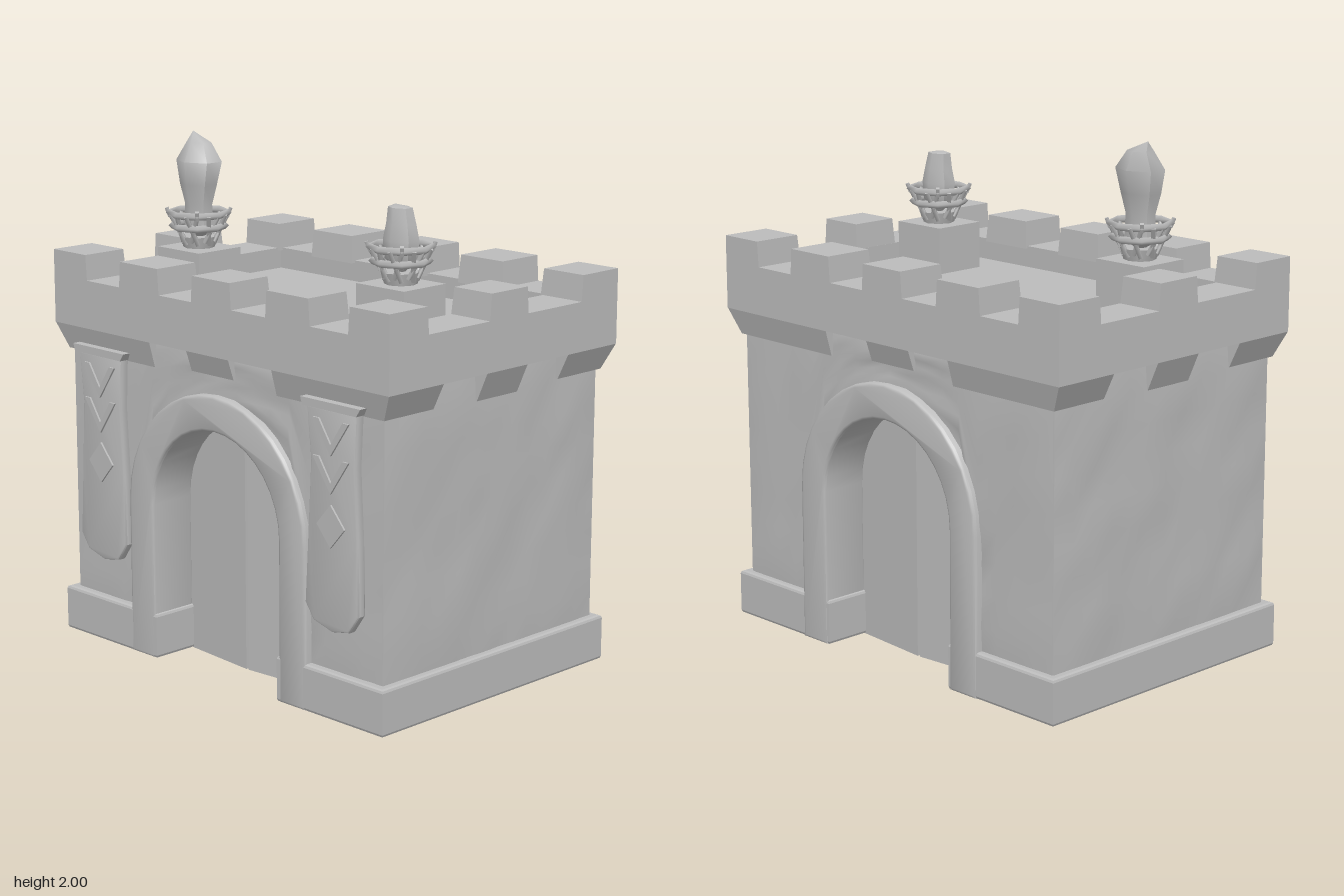
import * as THREE from 'three';
import { toCreasedNormals } from 'three/addons/utils/BufferGeometryUtils.js';

const stone = new THREE.MeshStandardMaterial({ color: 0xbcbcbc });
stone.name = 'stone grey';

// Footprint limits of the battlements, half width of the walls
const X = 0.91, ZF = 0.61, ZB = -0.63, WALL = 0.845;

let seed = 7;
const rand = () => (seed = (seed * 16807) % 2147483647) / 2147483647;

function add(parent, name, geometry, x = 0, y = 0, z = 0) {
  const mesh = new THREE.Mesh(geometry, stone);
  mesh.name = name;
  mesh.position.set(x, y, z);
  parent.add(mesh);
  return mesh;
}

// Move every vertex by a rule
function reshape(g, move) {
  const p = g.attributes.position, v = new THREE.Vector3();
  for (let i = 0; i < p.count; i++) {
    move(v.fromBufferAttribute(p, i));
    p.setXYZ(i, v.x, v.y, v.z);
  }
  g.computeVertexNormals();
  return g;
}

// Box given by its limits; move(v) may shift each corner
function block(parent, name, x0, x1, y0, y1, z0, z1, move = () => {}) {
  const g = new THREE.BoxGeometry(x1 - x0, y1 - y0, z1 - z0);
  g.translate((x0 + x1) / 2, (y0 + y1) / 2, (z0 + z1) / 2);
  return add(parent, name, reshape(g, move));
}

const polygon = pts => new THREE.Shape(pts.map(p => new THREE.Vector2(...p)));
const extrude = (shape, depth, bevel = 0) => new THREE.ExtrudeGeometry(shape, {
  depth, bevelEnabled: bevel > 0, bevelSize: bevel, bevelThickness: bevel, bevelSegments: 2,
});

// Points of a round-headed opening, from its right foot to its left foot
function archPoints(r, springY = 0.61, n = 18) {
  const pts = [[r, 0]];
  for (let i = 0; i <= n; i++) {
    const a = Math.PI * i / n;
    pts.push([r * Math.cos(a), springY + r * Math.sin(a)]);
  }
  pts.push([-r, 0]);
  return pts;
}

// Softly uneven masonry facing +z; bottomAt(x) gives its lower edge
function addMasonry(parent, half, z, bottomAt) {
  const top = 1.275, columns = Math.round(half * 2 / 0.095);
  const g = new THREE.PlaneGeometry(half * 2, 1, columns, 9);
  reshape(g, v => {
    const edge = Math.abs(v.x) > half - 0.001 || Math.abs(v.y) > 0.499;
    const y0 = bottomAt(v.x);
    v.y = y0 + (v.y + 0.5) * (top - y0);
    v.z = edge ? 0.003 : 0.003 + rand() * 0.012;
  });
  add(parent, 'masonryFace', g, 0, 0, z);
}

// Wall with gateway, stone surround and doors, facing +z
function makeFacade() {
  const f = new THREE.Group();
  const wall = polygon([[WALL, 0], [WALL, 1.3], [-WALL, 1.3], [-WALL, 0], ...archPoints(0.37).reverse()]);
  add(f, 'gateWall', extrude(wall, 0.187), 0, 0, 0.38);
  addMasonry(f, WALL, 0.566, x => Math.abs(x) < 0.455 ? 0.61 + Math.sqrt(0.455 ** 2 - x * x) : 0.15);

  const surround = polygon([...archPoints(0.475), ...archPoints(0.36).reverse()]);
  add(f, 'archSurround', toCreasedNormals(extrude(surround, 0.18, 0.012), 0.9), 0, 0.012, 0.415);

  // Two door leaves, bulging slightly at the meeting edge
  const leaf = polygon(archPoints(0.36).filter(p => p[0] > 0.001).concat([[0.006, 0.97], [0.006, 0]]));
  for (const s of [1, -1]) {
    const g = extrude(leaf, 0.025);
    if (s < 0) g.rotateY(Math.PI).translate(0, 0, 0.025);
    reshape(g, v => {
      if (v.z > 0.01) v.z += 0.03 * (1 - Math.abs(v.x) / 0.36);
    });
    add(f, 'doorLeaf', g, 0, 0, 0.385);
  }
  return f;
}

function makeBanner() {
  const b = new THREE.Group();
  const cloth = polygon([[-0.12, 0.82], [-0.1, 0.63], [-0.115, 0.35], [-0.13, 0.09], [-0.09, 0.035], [0, 0.01],
    [0.08, 0.025], [0.125, 0.09], [0.12, 0.36], [0.105, 0.63], [0.115, 0.82]]);
  add(b, 'bannerCloth', toCreasedNormals(extrude(cloth, 0.024, 0.008), 0.6), 0, 0, 0.583);
  const bar = polygon([[-0.15, 0.855], [-0.14, 0.825], [0.13, 0.825], [0.15, 0.855]]);
  add(b, 'bannerBar', extrude(bar, 0.06), 0, 0, 0.565);
  // Raised chevrons and a lozenge on the cloth
  for (const y of [0.72, 0.58]) {
    const v = polygon([[-0.09, 0.07], [0, -0.06], [0.09, 0.07], [0.06, 0.07], [0, -0.02], [-0.06, 0.07]]);
    add(b, 'bannerChevron', extrude(v, 0.009), 0, y, 0.614);
  }
  add(b, 'bannerLozenge', extrude(polygon([[-0.07, 0], [0, -0.08], [0.07, 0], [0, 0.08]]), 0.009), 0, 0.4, 0.614);
  return b;
}

function strut(parent, a, b, r) {
  const dir = b.clone().sub(a);
  const m = add(parent, 'basketStrut', new THREE.CylinderGeometry(r, r, dir.length(), 4));
  m.position.copy(a).add(b).multiplyScalar(0.5);
  m.quaternion.setFromUnitVectors(new THREE.Vector3(0, 1, 0), dir.normalize());
}

// Fire basket on a square pedestal; rows of the flame are [radius, y, xShift, zShift]
function makeTorch(flameRows) {
  const t = new THREE.Group();
  block(t, 'torchPedestal', -0.12, 0.12, 1.35, 1.55, -0.11, 0.11);
  add(t, 'basketFoot', new THREE.CylinderGeometry(0.075, 0.06, 0.05, 8), 0, 1.57, 0);
  for (const [r, y] of [[0.105, 1.635], [0.115, 1.685]]) {
    add(t, 'basketRing', new THREE.TorusGeometry(r, 0.014, 4, 8).rotateX(Math.PI / 2), 0, y, 0);
  }
  const at = (r, y, k) => new THREE.Vector3(r * Math.cos(k * Math.PI / 4), y, r * Math.sin(k * Math.PI / 4));
  for (let k = 0; k < 8; k++) {
    strut(t, at(0.06, 1.565, k), at(0.115, 1.685, k + 0.5), 0.011);
    strut(t, at(0.115, 1.685, k), at(0.065, 1.575, k + 0.5), 0.009);
    if (k % 2) strut(t, at(0.112, 1.67, k), at(0.126, 1.705, k), 0.01);
  }
  // Faceted flame: a lathe whose rows lean sideways, flatter from front to back
  const g = new THREE.LatheGeometry(flameRows.map(r => new THREE.Vector2(r[0], r[1])), 6);
  const p = g.attributes.position;
  for (let i = 0; i < p.count; i++) {
    const row = flameRows[i % flameRows.length];
    p.setX(i, p.getX(i) * 1.12 + row[2]);
    p.setZ(i, p.getZ(i) * 0.85 + row[3]);
  }
  add(t, 'flame', toCreasedNormals(g, 0.9));
  return t;
}

export function createModel() {
  const model = new THREE.Group();
  model.name = 'gatehouse';

  // Keep core, roof and notched plinth
  block(model, 'keepCore', -WALL, WALL, 0, 1.3, -0.41, 0.39);
  block(model, 'roof', -0.8, 0.8, 1.28, 1.365, -0.52, 0.5);
  const e = 0.35, d = 0.4, w = 0.87, h = 0.602;
  const plan = polygon([[w, -h], [w, h], [e, h], [e, d], [-e, d], [-e, h], [-w, h], [-w, -h], [-e, -h], [-e, -d], [e, -d], [e, -h]]);
  const plinth = extrude(plan, 0.156, 0.012).rotateX(-Math.PI / 2);
  add(model, 'plinth', plinth, 0, 0.012, -0.008);

  // Front and back gates
  const front = makeFacade();
  front.name = 'frontGate';
  const back = makeFacade();
  back.name = 'backGate';
  back.rotation.y = Math.PI;
  back.position.z = -0.02;
  model.add(front, back);

  // Masonry of the two sides
  for (const s of [1, -1]) {
    const side = new THREE.Group();
    side.name = s > 0 ? 'leftSide' : 'rightSide';
    addMasonry(side, 0.577, WALL, () => 0.15);
    side.rotation.y = s * Math.PI / 2;
    side.position.z = -0.01;
    model.add(side);
  }

  // Parapet ring
  const ring = polygon([[-X, -ZF], [X, -ZF], [X, -ZB], [-X, -ZB]]);
  ring.holes.push(new THREE.Path([[-0.72, -0.42], [-0.72, 0.44], [0.72, 0.44], [0.72, -0.42]].map(p => new THREE.Vector2(...p))));
  add(model, 'parapet', extrude(ring, 0.19).rotateX(-Math.PI / 2), 0, 1.26, 0);

  // Corbels under the parapet, sloping in to the walls
  const slope = v => {
    if (v.y > 1.2) return;
    v.x = THREE.MathUtils.clamp(v.x, -0.86, 0.86);
    v.z = THREE.MathUtils.clamp(v.z, -0.602, 0.582);
  };
  for (const [z0, z1] of [[0.33, ZF], [ZB, -0.35]]) {
    block(model, 'cornerCorbel', 0.32, X, 1.16, 1.262, z0, z1, slope);
    block(model, 'cornerCorbel', -X, -0.35, 1.16, 1.262, z0, z1, slope);
    block(model, 'middleCorbel', -0.14, 0.09, 1.18, 1.262, z0, z1, slope);
  }
  block(model, 'sideCorbel', 0.7, X, 1.15, 1.262, -0.12, 0.1, slope);
  block(model, 'sideCorbel', -X, -0.7, 1.15, 1.262, -0.12, 0.1, slope);

  // Merlons, slightly narrower at the top
  const merlon = (x0, x1, z0, z1) => block(model, 'merlon', x0, x1, 1.44, 1.55, z0, z1, v => {
    if (v.y < 1.5) return;
    if (Math.abs(v.x) < 0.9) v.x += (v.x < (x0 + x1) / 2 ? 1 : -1) * 0.008;
    if (v.z < 0.6 && v.z > -0.62) v.z += (v.z < (z0 + z1) / 2 ? 1 : -1) * 0.008;
  });
  for (const [x0, x1] of [[-X, -0.71], [-0.52, -0.29], [-0.11, 0.11], [0.29, 0.52], [0.71, X]]) {
    merlon(x0, x1, 0.41, ZF);
    merlon(x0, x1, ZB, -0.42);
  }
  merlon(-X, -0.72, -0.12, 0.09);
  merlon(0.72, X, -0.12, 0.09);

  // Hanging banners on the front
  for (const s of [1, -1]) {
    const banner = makeBanner();
    banner.name = s > 0 ? 'leftBanner' : 'rightBanner';
    banner.position.set(s * 0.635, 0.34, 0);
    model.add(banner);
  }

  // Roof torches: a tall flame on the right, a short one on the left
  const tall = makeTorch([[0, 1.58, 0, 0], [0.06, 1.62, 0, 0], [0.055, 1.72, 0, 0], [0.075, 1.8, 0, 0],
    [0.092, 1.89, 0, -0.005], [0.05, 1.96, -0.015, -0.02], [0, 2, -0.06, -0.03]]);
  tall.name = 'rightTorch';
  tall.position.set(-0.55, 0, 0.17);
  const short = makeTorch([[0, 1.58, 0, 0], [0.06, 1.64, 0, 0], [0.067, 1.71, 0, 0], [0.055, 1.77, 0, 0],
    [0.045, 1.83, -0.005, 0], [0, 1.84, -0.03, 0]]);
  short.name = 'leftTorch';
  short.position.set(0.545, 0, 0.17);
  model.add(tall, short);
  return model;
}
